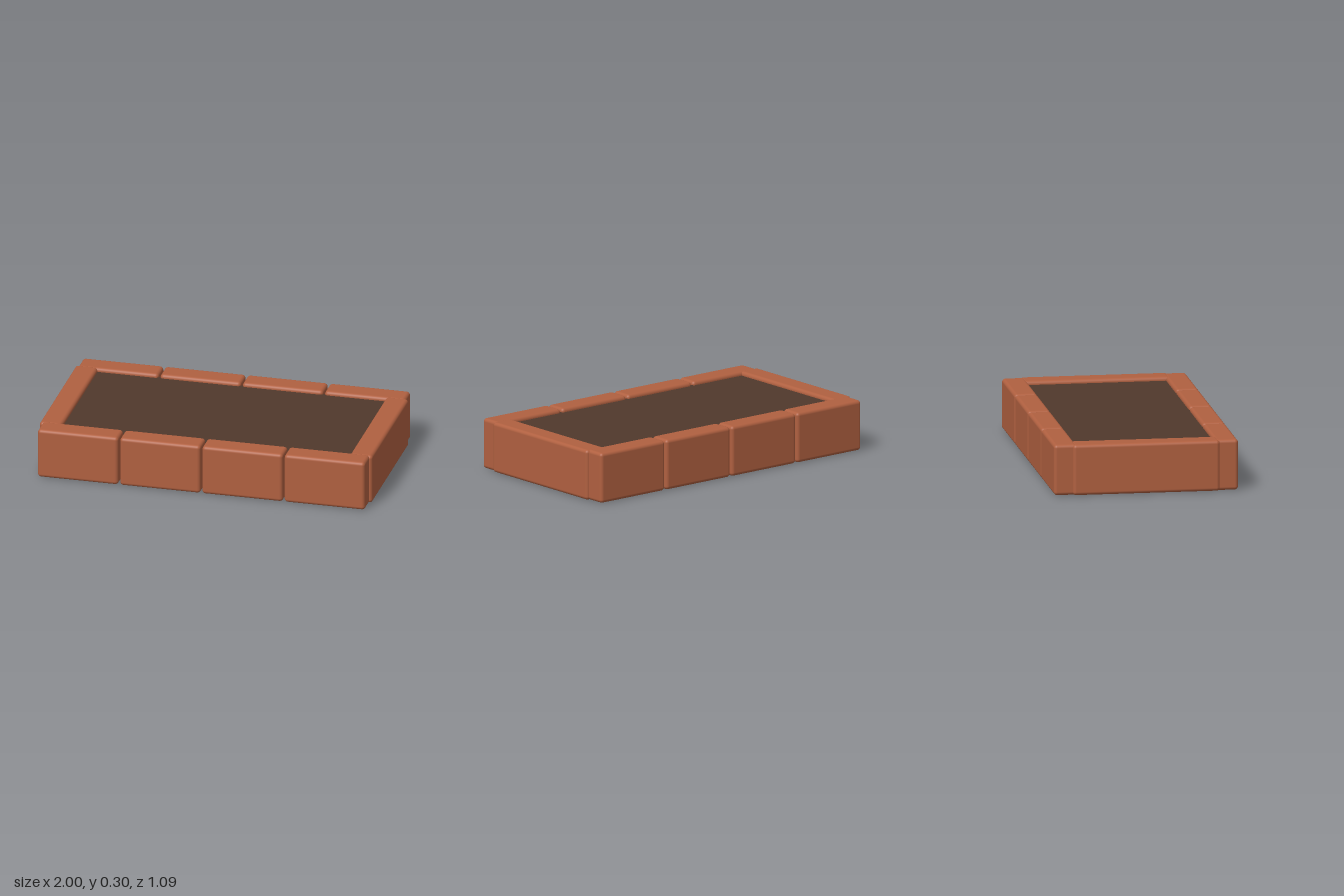
import * as THREE from 'three';
import { RoundedBoxGeometry } from 'three/addons/geometries/RoundedBoxGeometry.js';

const HEIGHT = 0.3;
const DEPTH = 0.135;

export function createModel() {
  const model = new THREE.Group();
  model.name = 'raisedPlanterBed';
  const brickMaterial = new THREE.MeshStandardMaterial({ color: 0xb06040 });
  const soilMaterial = new THREE.MeshStandardMaterial({ color: 0x50392c });

  const add = (name, geometry, material, x, z) => {
    const mesh = new THREE.Mesh(geometry, material);
    mesh.name = name;
    mesh.position.set(x, HEIGHT / 2, z);
    model.add(mesh);
  };

  // Four bricks along the front and the back, with narrow joints
  const longBrick = new RoundedBoxGeometry(0.484, HEIGHT, DEPTH, 4, 0.02);
  for (const [side, z] of [['front', 0.4755], ['back', -0.4755]]) {
    for (let i = 0; i < 4; i++) {
      add(`${side}Brick${i + 1}`, longBrick, brickMaterial, (i - 1.5) * 0.494, z);
    }
  }

  // One long brick closing each end, tucked between the rows
  const endBrick = new RoundedBoxGeometry(DEPTH, HEIGHT, 0.866, 4, 0.02);
  add('leftEndBrick', endBrick, brickMaterial, 1 - DEPTH / 2, 0);
  add('rightEndBrick', endBrick, brickMaterial, -1 + DEPTH / 2, 0);

  // Soil slab, slightly recessed above and below, reaching into the joints
  add('soil', new THREE.BoxGeometry(1.78, 0.255, 0.85), soilMaterial, 0, 0);

  return model;
}
